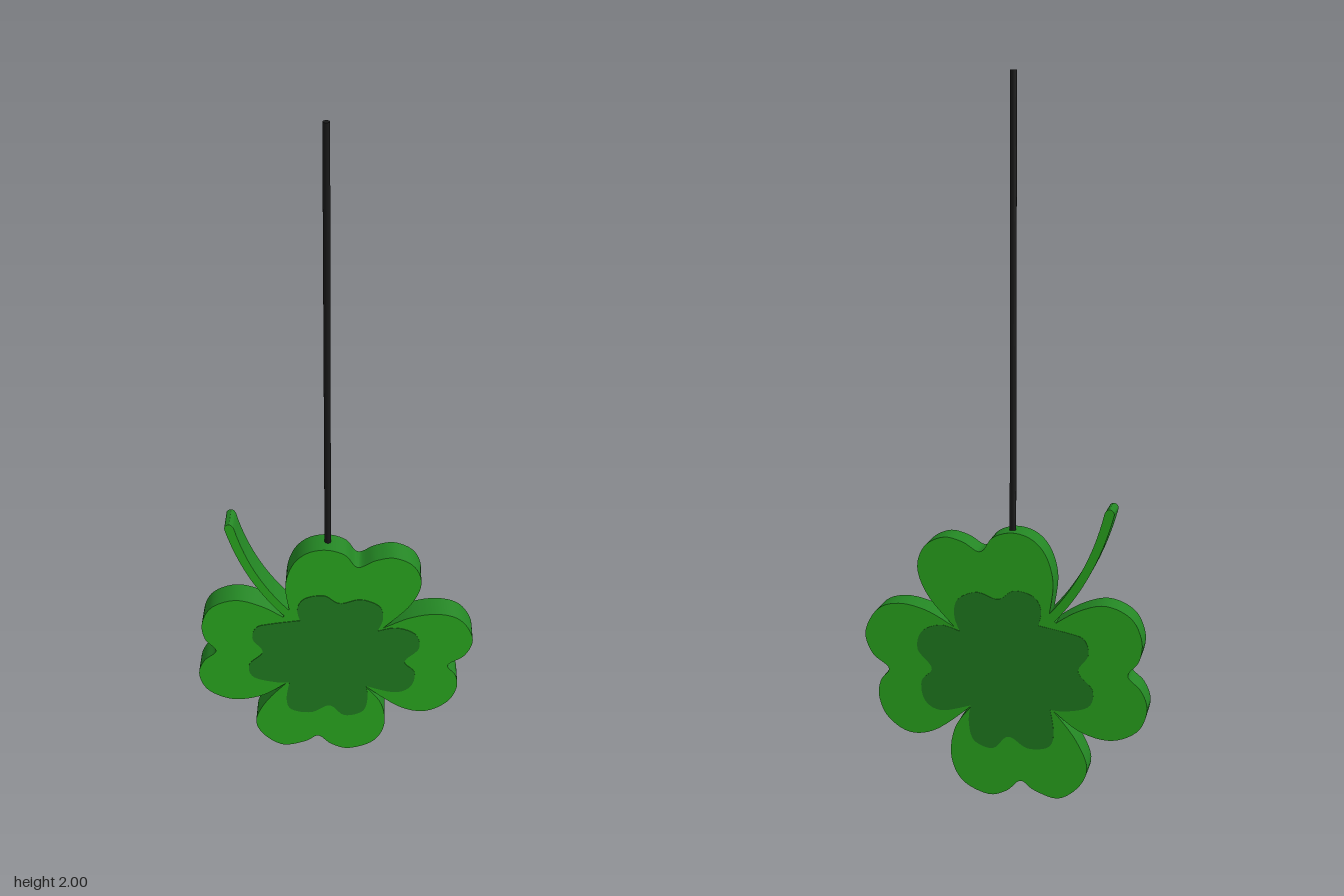
import * as THREE from 'three';
import { toCreasedNormals } from 'three/addons/utils/BufferGeometryUtils.js';

const material = (name, color) => new THREE.MeshStandardMaterial({ name, color });
const pts = (a) => a.map(([x, y]) => new THREE.Vector2(x, y));

// Heart-shaped leaves, clockwise; each is one smooth curve between sharp notches
const LEAVES = [
  [[-0.13, 0.56], [-0.14, 0.65], [-0.12, 0.725], [-0.08, 0.77], [-0.025, 0.785], [0.03, 0.768], [0.065, 0.725],
    [0.115, 0.75], [0.17, 0.76], [0.225, 0.73], [0.246, 0.665], [0.215, 0.585], [0.14, 0.5]],
  [[0.14, 0.5], [0.22, 0.542], [0.3, 0.557], [0.365, 0.535], [0.403, 0.465], [0.383, 0.4], [0.335, 0.36],
    [0.36, 0.32], [0.366, 0.27], [0.34, 0.21], [0.275, 0.17], [0.195, 0.187], [0.09, 0.27]],
  [[0.09, 0.27], [0.14, 0.2], [0.153, 0.11], [0.12, 0.037], [0.045, 0.003], [-0.01, 0.02], [-0.05, 0.055],
    [-0.09, 0.03], [-0.16, 0.013], [-0.22, 0.058], [-0.24, 0.12], [-0.205, 0.2], [-0.145, 0.275]],
  [[-0.145, 0.275], [-0.22, 0.222], [-0.307, 0.205], [-0.38, 0.24], [-0.405, 0.305], [-0.387, 0.36], [-0.35, 0.4],
    [-0.38, 0.445], [-0.386, 0.505], [-0.355, 0.567], [-0.285, 0.596], [-0.21, 0.575], [-0.14, 0.53]],
];

// Darker patch in the middle
const PATCH = [
  [[-0.1, 0.525], [-0.107, 0.57], [-0.085, 0.608], [-0.03, 0.62], [0.015, 0.592], [0.075, 0.608], [0.13, 0.583],
    [0.14, 0.535], [0.125, 0.49]],
  [[0.125, 0.49], [0.18, 0.503], [0.235, 0.48], [0.248, 0.425], [0.207, 0.372], [0.238, 0.33], [0.228, 0.272],
    [0.18, 0.247], [0.095, 0.27]],
  [[0.095, 0.27], [0.1, 0.22], [0.085, 0.165], [0.03, 0.147], [-0.015, 0.187], [-0.07, 0.157], [-0.13, 0.167],
    [-0.145, 0.21], [-0.135, 0.28]],
  [[-0.135, 0.28], [-0.18, 0.28], [-0.243, 0.3], [-0.253, 0.35], [-0.212, 0.4], [-0.24, 0.45], [-0.228, 0.495],
    [-0.185, 0.51], [-0.1, 0.525]],
];

// Closed shape from smooth curves joined end to end
function outline(curves) {
  const all = curves.flatMap((c) => new THREE.SplineCurve(pts(c)).getPoints(c.length * 5).slice(0, -1));
  return new THREE.Shape(all);
}

// Flat slab centred on z
function slab(shape, depth) {
  const g = new THREE.ExtrudeGeometry(shape, { depth, bevelEnabled: false, curveSegments: 16 });
  g.translate(0, 0, -depth / 2);
  return toCreasedNormals(g, 0.6);
}

export function createModel() {
  const group = new THREE.Group();
  const leafGreen = material('leaf green', 0x2eb422);
  const darkGreen = material('dark green', 0x238523);
  const black = material('cord black', 0x1a1a1a);
  const DEPTH = 0.073;

  const add = (name, geometry, mat) => {
    const mesh = new THREE.Mesh(geometry, mat);
    mesh.name = name;
    group.add(mesh);
    return mesh;
  };

  // Four leaves: bright faces, dark rim
  add('cloverLeaves', slab(outline(LEAVES), DEPTH), [leafGreen, darkGreen]);

  // Curved stem
  const stem = new THREE.Shape();
  stem.moveTo(-0.115, 0.545);
  stem.quadraticCurveTo(-0.235, 0.67, -0.278, 0.855);
  stem.quadraticCurveTo(-0.285, 0.872, -0.297, 0.866);
  stem.quadraticCurveTo(-0.306, 0.862, -0.304, 0.85);
  stem.quadraticCurveTo(-0.255, 0.66, -0.14, 0.535);
  add('stem', slab(stem, DEPTH), [leafGreen, darkGreen]);

  // Dark patch on the front and back
  const patch = slab(outline(PATCH), 0.003);
  for (const [name, side] of [['frontPatch', 1], ['backPatch', -1]]) {
    add(name, patch, darkGreen).position.z = side * DEPTH / 2;
  }

  // Hanging cord
  const cord = new THREE.CylinderGeometry(0.009, 0.009, 1.23, 16);
  add('cord', cord, black).position.set(-0.02, 1.385, -0.004);

  return group;
}
